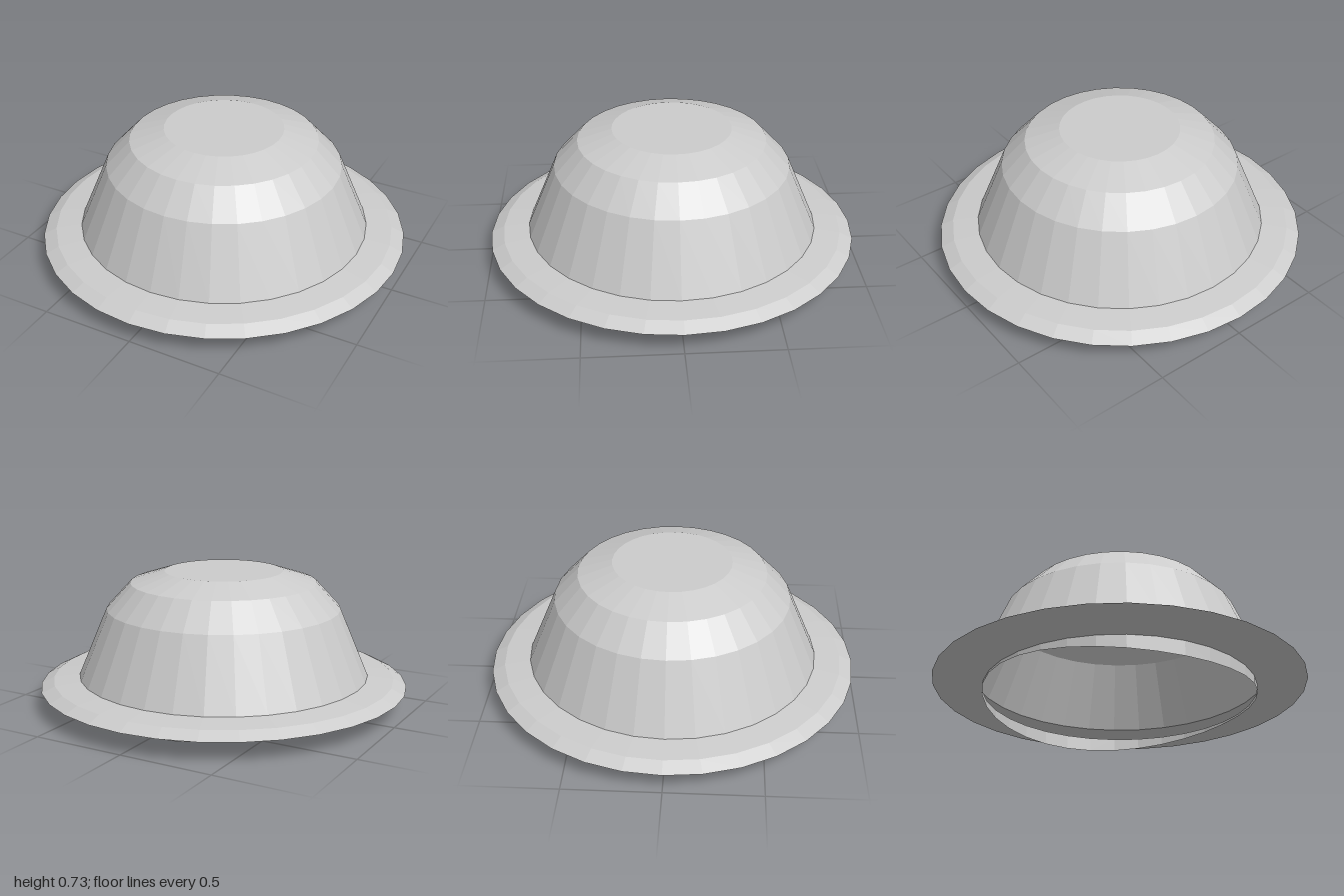
import * as THREE from 'three';

const SIDES = 32;
const BAND_RADIUS = 0.735;

export function createModel() {
  const hat = new THREE.Group();
  hat.name = 'hat';
  const material = new THREE.MeshStandardMaterial({
    color: 0xcccccc, flatShading: true, side: THREE.DoubleSide,
  });

  // Thin turned sheet; the profile [radius, height] runs from bottom to top on its outside
  function turned(name, profile) {
    const points = profile.map(([r, y]) => new THREE.Vector2(r, y));
    const mesh = new THREE.Mesh(new THREE.LatheGeometry(points, SIDES), material);
    mesh.name = name;
    hat.add(mesh);
    return mesh;
  }

  // Crown with a flat top
  turned('crown', [[0.79, 0.16], [0.635, 0.525], [0.505, 0.665], [0.32, 0.725], [0, 0.725]]);

  // Hollow brim, open towards the inside of the crown
  turned('brim', [[BAND_RADIUS, 0.08], [1, 0.11], [0.93, 0.145], [0.79, 0.16]]);

  // Inner band whose hem dips at front and back and rises at the sides
  const band = turned('innerBand', [[BAND_RADIUS, 0], [BAND_RADIUS, 0.08]]);
  const pos = band.geometry.attributes.position;
  for (let i = 0; i < pos.count; i++) {
    if (pos.getY(i) < 0.01) pos.setY(i, 0.067 * (pos.getX(i) / BAND_RADIUS) ** 2);
  }
  band.geometry.computeVertexNormals();

  return hat;
}
